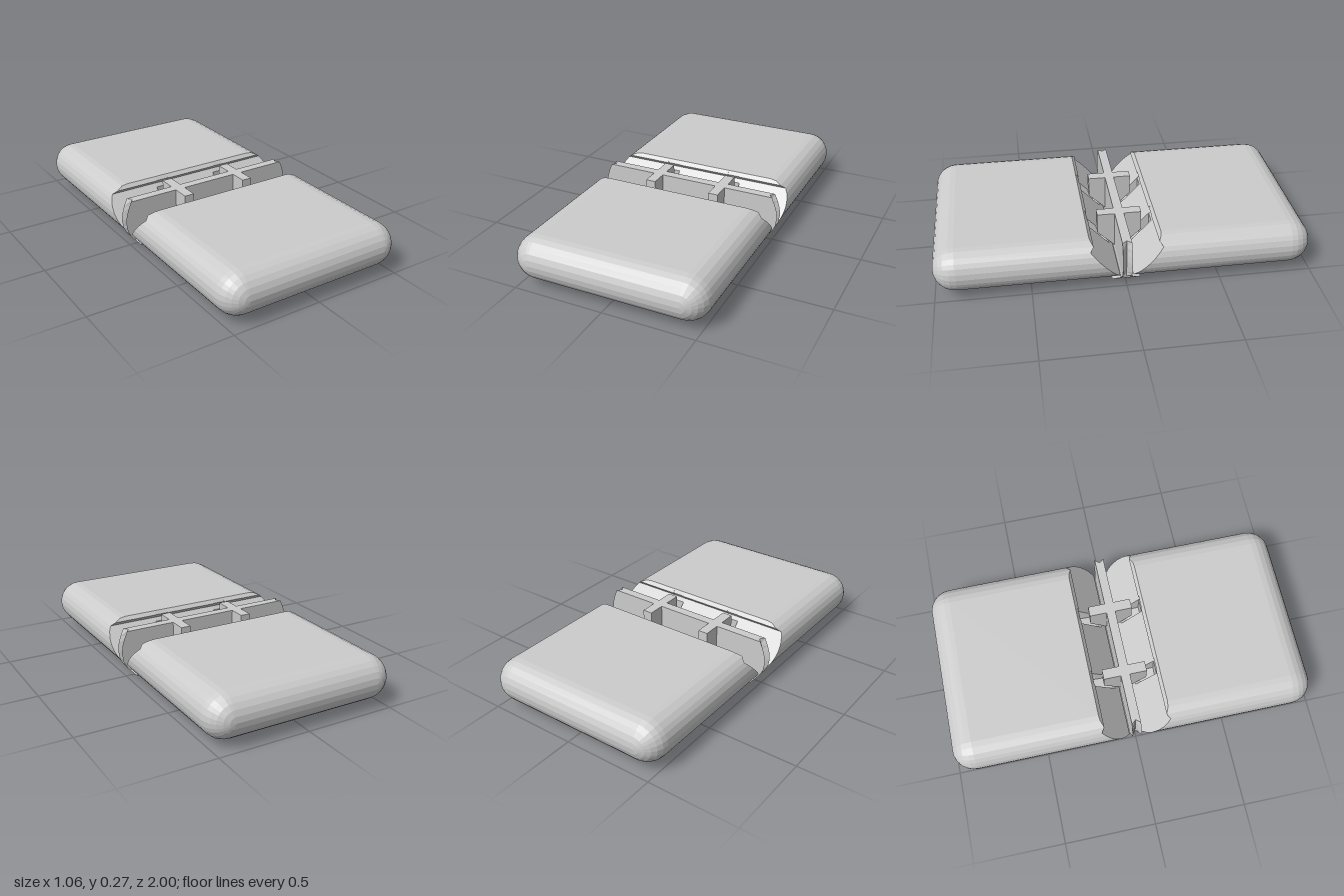
import * as THREE from 'three';

const material = new THREE.MeshStandardMaterial({ color: 0xcccccc, flatShading: true, side: THREE.DoubleSide });

// Collects four-cornered faces and turns them into a mesh
function quadMesh(name, fill) {
  const positions = [];
  fill((a, b, c, d) => positions.push(...a, ...b, ...c, ...a, ...c, ...d));
  const geometry = new THREE.BufferGeometry();
  geometry.setAttribute('position', new THREE.Float32BufferAttribute(positions, 3));
  geometry.computeVertexNormals();
  const mesh = new THREE.Mesh(geometry, material);
  mesh.name = name;
  return mesh;
}

// Piecewise linear lookup in [[key, value], ...]
function lookup(table, t) {
  for (let i = 1; i < table.length; i++) {
    const [k0, v0] = table[i - 1], [k1, v1] = table[i];
    if (t <= k1) return v0 + (v1 - v0) * (t - k0) / (k1 - k0);
  }
  return table[table.length - 1][1];
}

const CORE_X = 0.41, CORE_Z = 0.88, MID_Y = 0.15, RADIUS = 0.12;
const LEVELS = [0.03, 0.034, 0.046, 0.065, 0.09, 0.1, 0.119, 0.15, 0.181, 0.21, 0.23, 0.25, 0.266, 0.27];
const SLOTS = [-0.19, 0.19], SLOT_HALF = 0.037;

// Inner end of a slab: rounded foot, 45 degree bevel and a small V notch at the top
const BEVEL = [[0.03, 0.075], [0.034, 0.055], [0.046, 0.04], [0.065, 0.035], [0.23, 0.19], [0.25, 0.172], [0.27, 0.19]];
const bevelZ = (y) => lookup(BEVEL, y);
const slotZ = (y) => (y > 0.095 ? Math.max(bevelZ(y), 0.175) : bevelZ(y));

function slab(name) {
  return quadMesh(name, (quad) => {
    const halfWidth = (y) => CORE_X + Math.sqrt(Math.max(0, RADIUS ** 2 - (y - MID_Y) ** 2));

    // Stadium outline, up the +x side and down the -x side
    const outline = [
      ...LEVELS.map((y) => [halfWidth(y), y]),
      ...[...LEVELS].reverse().map((y) => [-halfWidth(y), y]),
    ];
    const rings = [outline.map(([x, y]) => [x, y, bevelZ(y)])];
    for (let k = 0; k <= 6; k++) {
      const a = k / 6 * Math.PI / 2, s = Math.cos(a);
      rings.push(outline.map(([x, y]) => [
        Math.sign(x) * (CORE_X + (Math.abs(x) - CORE_X) * s),
        MID_Y + (y - MID_Y) * s,
        CORE_Z + RADIUS * Math.sin(a),
      ]));
    }
    for (let k = 0; k + 1 < rings.length; k++) {
      for (let i = 0; i < outline.length; i++) {
        const n = (i + 1) % outline.length;
        quad(rings[k][i], rings[k][n], rings[k + 1][n], rings[k + 1][i]);
      }
    }

    // Bevelled end with two recessed slots
    const cuts = SLOTS.flatMap((x) => [x - SLOT_HALF, x + SLOT_HALF]);
    for (let j = 0; j + 1 < LEVELS.length; j++) {
      const y0 = LEVELS[j], y1 = LEVELS[j + 1];
      const low = [-halfWidth(y0), ...cuts, halfWidth(y0)];
      const high = [-halfWidth(y1), ...cuts, halfWidth(y1)];
      for (let c = 0; c + 1 < low.length; c++) {
        const depth = c % 2 ? slotZ : bevelZ;
        quad([low[c], y0, depth(y0)], [high[c], y1, depth(y1)],
          [high[c + 1], y1, depth(y1)], [low[c + 1], y0, depth(y0)]);
      }
      // Slot side walls
      cuts.forEach((x, i) => {
        const wall = [[x, y0, bevelZ(y0)], [x, y1, bevelZ(y1)], [x, y1, slotZ(y1)], [x, y0, slotZ(y0)]];
        quad(...(i % 2 ? wall.reverse() : wall));
      });
    }
  });
}

// Thin hinge wall on a rounded foot, with a V groove down each end
function spine() {
  // Height, half width, half thickness, groove depth
  const rows = [
    [0, 0.4, 0.015, 0], [0.005, 0.425, 0.04, 0], [0.015, 0.452, 0.06, 0], [0.03, 0.474, 0.075, 0],
    [0.045, 0.488, 0.03, 0.01], [0.07, 0.507, 0.025, 0.03], [0.1, 0.522, 0.025, 0.04],
    [0.15, 0.53, 0.025, 0.045], [0.19, 0.525, 0.025, 0.045], [0.23, 0.513, 0.025, 0.035], [0.27, 0.495, 0.025, 0.02],
  ];
  const rings = rows.map(([y, x, w, g]) => [
    [x, y, w], [x - g, y, 0], [x, y, -w], [-x, y, -w], [g - x, y, 0], [-x, y, w],
  ]);
  return quadMesh('hingeSpine', (quad) => {
    for (let j = 0; j + 1 < rings.length; j++) {
      for (let i = 0; i < 6; i++) {
        const n = (i + 1) % 6;
        quad(rings[j][i], rings[j][n], rings[j + 1][n], rings[j + 1][i]);
      }
    }
    const top = rings[rings.length - 1], bottom = rings[0];
    for (const [a, b, c, d] of [[0, 1, 4, 5], [1, 2, 3, 4]]) {
      quad(top[a], top[b], top[c], top[d]);
      quad(bottom[d], bottom[c], bottom[b], bottom[a]);
    }
  });
}

// Cross rib with a tapered underside that fits the slab slots
function rib(x) {
  const width = 0.056;
  const shape = new THREE.Shape([
    [-0.12, 0.27], [-0.12, 0.157], [-0.025, 0.065], [0.025, 0.065], [0.12, 0.157], [0.12, 0.27],
  ].map(([z, y]) => new THREE.Vector2(z, y)));
  const geometry = new THREE.ExtrudeGeometry(shape, { depth: width, bevelEnabled: false });
  geometry.translate(0, 0, -width / 2).rotateY(Math.PI / 2);
  const mesh = new THREE.Mesh(geometry, material);
  mesh.position.x = x;
  mesh.name = x > 0 ? 'leftRib' : 'rightRib';
  return mesh;
}

export function createModel() {
  const group = new THREE.Group();
  group.name = 'hingedSlabs';
  const rear = slab('rearSlab');
  rear.rotation.y = Math.PI;
  group.add(slab('frontSlab'), rear, spine(), ...SLOTS.map(rib));
  return group;
}
